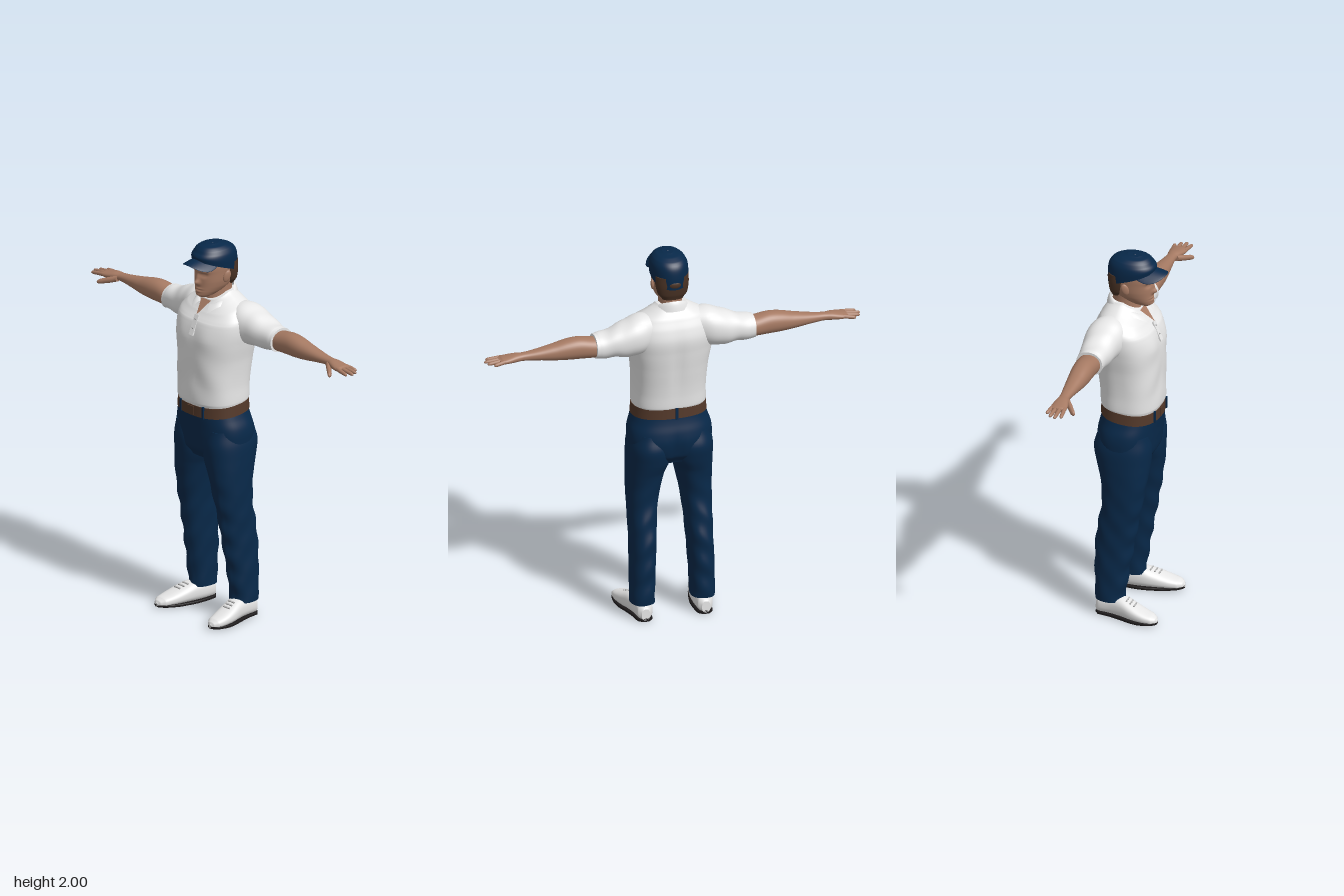
import * as THREE from 'three';

const mat = (name, color, side = THREE.FrontSide) => {
  const m = new THREE.MeshStandardMaterial({ color, side });
  m.name = name;
  return m;
};

// Which coordinates the two cross-section directions use for each loft axis
const AXES = { x: ['z', 'y'], y: ['x', 'z'], z: ['y', 'x'] };

// Smooth loft through superellipse sections [t, aMin, aMax, bMin, bMax], with an optional vertex rule
function loft(axis, sections, { n = 40, steps = 6, power = 2, rule } = {}) {
  const [A, B] = AXES[axis], rows = [], last = sections.length - 1;
  for (let k = 0; k < last; k++) {
    for (let s = 0; s < steps + (k === last - 1 ? 1 : 0); s++) {
      const u = s / steps, p0 = sections[Math.max(k - 1, 0)], p3 = sections[Math.min(k + 2, last)];
      rows.push(sections[k].map((p1, i) => {
        const p2 = sections[k + 1][i];
        if (i === 0) return p1 + (p2 - p1) * u;
        const m1 = (p2 - p0[i]) / 2, m2 = (p3[i] - p1) / 2, d = p2 - p1;
        return p1 + m1 * u + (3 * d - 2 * m1 - m2) * u * u + (m1 + m2 - 2 * d) * u * u * u;
      }));
    }
  }
  const pos = [], index = [], v = new THREE.Vector3();
  const ring = (r) => {
    for (let j = 0; j < n; j++) {
      const th = (j / n) * Math.PI * 2, c = Math.cos(th), s = Math.sin(th);
      v[axis] = r[0];
      v[A] = (r[1] + r[2]) / 2 + (r[2] - r[1]) / 2 * Math.sign(c) * Math.abs(c) ** (2 / power);
      v[B] = (r[3] + r[4]) / 2 + (r[4] - r[3]) / 2 * Math.sign(s) * Math.abs(s) ** (2 / power);
      if (rule) rule(v);
      pos.push(v.x, v.y, v.z);
    }
  };
  rows.forEach(ring);
  for (let i = 0; i < rows.length - 1; i++) for (let j = 0; j < n; j++) {
    const a = i * n + j, b = i * n + (j + 1) % n;
    index.push(a, a + n, b, a + n, b + n, b);
  }
  // End caps with their own vertices so the rims stay crisp
  [rows[0], rows[rows.length - 1]].forEach((r, end) => {
    const base = pos.length / 3;
    ring(r);
    v[axis] = r[0]; v[A] = (r[1] + r[2]) / 2; v[B] = (r[3] + r[4]) / 2;
    if (rule) rule(v);
    pos.push(v.x, v.y, v.z);
    for (let j = 0; j < n; j++) {
      const k = (j + 1) % n;
      index.push(base + n, base + (end ? k : j), base + (end ? j : k));
    }
  });
  const g = new THREE.BufferGeometry();
  g.setAttribute('position', new THREE.Float32BufferAttribute(pos, 3));
  g.setIndex(index);
  g.computeVertexNormals();
  return g;
}

// Move every vertex of a geometry by a rule
function bend(g, rule) {
  const p = g.attributes.position, v = new THREE.Vector3();
  for (let i = 0; i < p.count; i++) {
    rule(v.fromBufferAttribute(p, i));
    p.setXYZ(i, v.x, v.y, v.z);
  }
  g.computeVertexNormals();
  return g;
}

function mirrored(g) {
  const m = g.clone().scale(-1, 1, 1), ix = m.index.array;
  for (let i = 0; i < ix.length; i += 3) [ix[i], ix[i + 1]] = [ix[i + 1], ix[i]];
  m.computeVertexNormals();
  return m;
}

const bump = (a, b, sa, sb) => Math.exp(-((a / sa) ** 2) - (b / sb) ** 2);
const clamp = THREE.MathUtils.clamp;
const sym = (y, w, z0, z1) => [y, -w, w, z0, z1];
const ball = (x, y, z, sx, sy, sz) => new THREE.SphereGeometry(1, 24, 16).scale(sx, sy, sz).translate(x, y, z);

export function createModel() {
  const root = new THREE.Group();
  root.name = 'standingMan';
  const skin = mat('skin', 0xa67a63, THREE.DoubleSide), hair = mat('hair', 0x4a3325);
  const white = mat('white cloth', 0xebebeb, THREE.DoubleSide), navy = mat('navy cloth', 0x08294a);
  const leather = mat('brown leather', 0x54392a), dark = mat('dark sole', 0x1e1b1c), grey = mat('grey trim', 0xb4b4b4);
  const add = (name, g, m) => {
    const mesh = new THREE.Mesh(g, m);
    mesh.name = name;
    root.add(mesh);
    return mesh;
  };
  const pair = (name, g, m) => {
    add('left' + name, g, m);
    add('right' + name, mirrored(g), m);
  };

  // Head with sculpted face
  add('head', loft('y', [
    sym(1.724, 0.026, 0.03, 0.088), sym(1.735, 0.042, -0.01, 0.1), sym(1.755, 0.058, -0.06, 0.102),
    sym(1.78, 0.071, -0.095, 0.1), sym(1.81, 0.079, -0.11, 0.1), sym(1.85, 0.083, -0.122, 0.101),
    sym(1.89, 0.085, -0.125, 0.104), sym(1.93, 0.08, -0.12, 0.095), sym(1.96, 0.06, -0.09, 0.07),
  ], { n: 96, steps: 9, power: 2.2, rule: (v) => {
    if (v.z < 0.03) return;
    const ax = Math.abs(v.x), y = v.y;
    v.z += 0.02 * bump(ax, y - 1.805, 0.014, 0.014) + 0.011 * bump(ax, y - 1.83, 0.011, 0.025)
      - 0.011 * bump(ax - 0.033, y - 1.848, 0.017, 0.012) + 0.005 * bump(ax - 0.03, y - 1.868, 0.03, 0.008)
      + 0.004 * bump(ax - 0.033, y - 1.847, 0.009, 0.006) + 0.005 * bump(ax, y - 1.772, 0.022, 0.006)
      + 0.005 * bump(ax, y - 1.757, 0.018, 0.006) - 0.004 * bump(ax, y - 1.765, 0.026, 0.003)
      + 0.004 * bump(ax, y - 1.737, 0.018, 0.01);
  } }), skin);
  add('neck', loft('y', [sym(1.64, 0.075, -0.13, 0.05), sym(1.7, 0.064, -0.12, 0.037),
    sym(1.75, 0.06, -0.112, 0.032), sym(1.81, 0.062, -0.11, 0.03)]), skin);
  pair('Ear', bend(ball(0, 0, 0, 0.009, 0.031, 0.019), (v) => {
    v.x += 0.088 - v.z * 0.3 + v.y * 0.1;
    v.z += -0.018 - v.y * 0.2;
    v.y += 1.833;
  }), skin);
  add('hair', loft('y', [sym(1.772, 0.055, -0.113, -0.045), sym(1.80, 0.076, -0.123, -0.03),
    sym(1.85, 0.086, -0.13, -0.01), sym(1.9, 0.087, -0.13, 0)], { power: 2.3 }), hair);

  // Cap: crown, curved brim, rear opening and top button
  add('capCrown', loft('y', [
    sym(1.88, 0.095, -0.135, 0.114), sym(1.92, 0.097, -0.136, 0.117), sym(1.95, 0.093, -0.13, 0.11),
    sym(1.975, 0.08, -0.108, 0.094), sym(1.99, 0.06, -0.075, 0.075), sym(1.998, 0.028, -0.035, 0.042),
  ], { n: 56, power: 2.15, rule: (v) => {
    v.y += 0.35 * (v.z + 0.01) * clamp((1.96 - v.y) / 0.08, 0, 1);
  } }), navy);
  add('capBrim', bend(ball(0, 0, 0.08, 0.087, 0.006, 0.1), (v) => {
    v.y += 1.928 - 0.15 * (v.z - 0.1) - 6.2 * v.x * v.x;
  }), navy);
  add('capRearOpening', ball(0, 1.862, -0.121, 0.036, 0.026, 0.018), hair);
  add('capButton', ball(0, 1.996, 0.004, 0.008, 0.005, 0.008), navy);

  // Shirt body with chest, spine groove and soft folds
  add('shirtBody', loft('y', [
    sym(1.158, 0.186, -0.15, 0.144), sym(1.18, 0.19, -0.157, 0.151), sym(1.27, 0.189, -0.162, 0.15),
    sym(1.4, 0.199, -0.178, 0.148), sym(1.5, 0.216, -0.19, 0.143), sym(1.57, 0.224, -0.195, 0.13),
    sym(1.63, 0.216, -0.18, 0.108), sym(1.68, 0.178, -0.157, 0.083), sym(1.71, 0.125, -0.138, 0.062),
    sym(1.742, 0.078, -0.117, 0.04),
  ], { n: 80, power: 2.5, rule: (v) => {
    const ax = Math.abs(v.x), y = v.y;
    if (v.z > 0.03) v.z += 0.008 * bump(ax - 0.09, y - 1.52, 0.06, 0.06)
      + 0.003 * Math.sin(30 * ax + 22 * y) * bump(y - 1.3, 0, 0.12, 1);
    if (v.z < -0.06) v.z += 0.008 * bump(ax, y - 1.42, 0.03, 0.16);
    v.y -= Math.max(0, v.z + 0.04) * 0.5 * clamp((y - 1.6) / 0.14, 0, 1);
    v.y -= v.z * 0.05 * clamp((1.25 - y) / 0.09, 0, 1);
  } }), white);
  pair('Sleeve', loft('x', [
    [0.1, -0.15, 0, 1.52, 1.695], [0.18, -0.18, 0.02, 1.495, 1.7], [0.25, -0.182, 0.006, 1.49, 1.678],
    [0.33, -0.17, -0.008, 1.497, 1.646], [0.4, -0.163, -0.018, 1.5, 1.628], [0.422, -0.161, -0.02, 1.5, 1.624],
  ], { power: 2.2, rule: (v) => {
    v.y += 0.003 * Math.sin(v.x * 55 + v.z * 25) * clamp((v.x - 0.2) / 0.1, 0, 1);
  } }), white);

  // Folded collar, open neck, placket and buttons
  add('collar', bend(new THREE.PlaneGeometry(1, 1, 48, 5), (v) => {
    const s = v.x * 2, t = 0.5 - v.y, a = s * 2.72;
    const front = (1 - Math.cos(a)) / 2, tip = Math.max(0, Math.abs(s) - 0.8) / 0.2;
    const yIn = 1.768 - 0.088 * front, yOut = 1.718 - 0.05 * front - 0.022 * tip;
    v.set(THREE.MathUtils.lerp(0.068, 0.108, t) * Math.sin(a) + Math.sign(s) * 0.012 * tip * t,
      THREE.MathUtils.lerp(yIn, yOut, t) + 0.012 * Math.sin(t * Math.PI),
      THREE.MathUtils.lerp(-0.04, -0.02, t) - THREE.MathUtils.lerp(0.082, 0.122, t) * Math.cos(a));
  }), white);
  const vee = new THREE.Shape([[-0.036, 1.7], [0, 1.632], [0.036, 1.7]].map((p) => new THREE.Vector2(...p)));
  add('openNeck', bend(new THREE.ShapeGeometry(vee), (v) => { v.z = 0.108 - (v.y - 1.635) * 0.97; }), skin);
  const placket = add('placket', new THREE.BoxGeometry(0.03, 0.11, 0.008), white);
  placket.position.set(0, 1.58, 0.126);
  placket.rotation.x = -0.4;
  [1.61, 1.565].forEach((y) => add('button', ball(0, y, 0.131 - (y - 1.58) * 0.42, 0.005, 0.005, 0.003), grey));

  // Arms and hands
  pair('Arm', loft('x', [
    [0.36, -0.145, -0.035, 1.508, 1.612], [0.42, -0.15, -0.032, 1.508, 1.613], [0.5, -0.146, -0.034, 1.51, 1.624],
    [0.56, -0.142, -0.035, 1.512, 1.62], [0.63, -0.135, -0.042, 1.518, 1.605], [0.72, -0.124, -0.054, 1.53, 1.588],
    [0.8, -0.115, -0.062, 1.537, 1.578], [0.84, -0.12, -0.052, 1.535, 1.577], [0.88, -0.125, -0.042, 1.534, 1.571],
    [0.91, -0.125, -0.04, 1.536, 1.566], [0.924, -0.118, -0.047, 1.543, 1.56],
  ], { power: 2.2 }), skin);
  const finger = (x0, z0, y0, x1, z1, y1, r) => loft('x', [0, 0.3, 0.6, 0.85, 0.96, 1].map((t, i) => {
    const k = r * [1, 1.03, 0.95, 0.85, 0.55, 0.1][i];
    const z = z0 + (z1 - z0) * t, y = y0 + (y1 - y0) * t;
    return [x0 + (x1 - x0) * t, z - k, z + k, y - k, y + k];
  }), { n: 14, steps: 3 });
  [[-0.114, 0.962, -0.126], [-0.094, 0.99, -0.1], [-0.073, 1, -0.072], [-0.052, 0.984, -0.042]]
    .forEach(([z, x1, z1], i) => pair('Finger' + (i + 1), finger(0.895, z, 1.553, x1, z1, 1.544, 0.0105), skin));
  pair('Thumb', finger(0.81, -0.068, 1.55, 0.898, -0.005, 1.525, 0.016), skin);

  // Trousers: seat and legs with soft folds
  add('trouserSeat', loft('y', [
    sym(0.865, 0.15, -0.125, 0.1), sym(0.91, 0.208, -0.157, 0.126), sym(0.98, 0.219, -0.172, 0.134),
    sym(1.04, 0.216, -0.168, 0.138), sym(1.1, 0.197, -0.155, 0.143), sym(1.15, 0.185, -0.149, 0.143),
  ], { n: 64, power: 2.4, rule: (v) => {
    if (v.z < -0.05) v.z += 0.012 * bump(v.x, v.y - 0.94, 0.02, 0.07);
  } }), navy);
  pair('TrouserLeg', loft('y', [
    [0.09, 0.096, 0.222, -0.146, 0.004], [0.2, 0.094, 0.222, -0.15, 0.016], [0.3, 0.09, 0.22, -0.152, 0.032],
    [0.4, 0.085, 0.218, -0.15, 0.05], [0.5, 0.079, 0.218, -0.14, 0.067], [0.6, 0.07, 0.22, -0.121, 0.085],
    [0.7, 0.053, 0.222, -0.12, 0.103], [0.8, 0.03, 0.223, -0.135, 0.118], [0.87, 0.002, 0.223, -0.156, 0.126],
    [0.95, 0.0, 0.22, -0.17, 0.13], [1.03, 0.02, 0.205, -0.15, 0.12],
  ], { n: 48, power: 2.25, rule: (v) => {
    const low = clamp((0.85 - v.y) / 0.3, 0, 1);
    v.z += 0.004 * low * Math.sin(v.y * 45 + v.x * 30) + (v.z > -0.02 ? 0.006 * low * bump(v.x - 0.155, 0, 0.012, 1) : 0);
    v.x += 0.002 * low * Math.sin(v.y * 38 + v.z * 40);
  } }), navy);

  // Belt, buckle and loops
  const tilt = (v) => { v.y -= v.z * 0.09; };
  add('belt', loft('y', [sym(1.112, 0.195, -0.157, 0.149), sym(1.168, 0.191, -0.155, 0.149)],
    { n: 64, power: 2.4, steps: 2, rule: tilt }), leather);
  add('buckle', new THREE.BoxGeometry(0.05, 0.046, 0.01).translate(0, 1.127, 0.149), leather);
  pair('BeltLoop', new THREE.BoxGeometry(0.012, 0.064, 0.01).translate(0.085, 1.128, 0.142), navy);
  add('rearBeltLoop', new THREE.BoxGeometry(0.014, 0.064, 0.01).translate(0, 1.153, -0.155), navy);

  // Shoes with dark soles and laces
  const outline = [[-0.142, 0.138, 0.182], [-0.125, 0.12, 0.2], [-0.06, 0.114, 0.21], [0, 0.116, 0.226],
    [0.06, 0.128, 0.244], [0.12, 0.144, 0.251], [0.17, 0.162, 0.246], [0.192, 0.182, 0.23], [0.2, 0.2, 0.214]];
  const tops = [0.07, 0.1, 0.11, 0.112, 0.091, 0.069, 0.054, 0.042, 0.03];
  pair('Shoe', loft('z', outline.map(([z, x0, x1], i) => [z, 0.008, tops[i], x0, x1]), { power: 2.5 }), white);
  pair('Sole', loft('z', outline.map(([z, x0, x1]) => [z, 0, 0.018, x0, x1]), { power: 5, rule: (v) => {
    v.y += Math.max(0, v.z - 0.1) * 0.08;
  } }), dark);
  for (let i = 0; i < 3; i++) {
    const z = 0.03 + i * 0.022;
    pair('Lace' + (i + 1), new THREE.BoxGeometry(0.045, 0.006, 0.007).rotateX(0.35)
      .translate(0.178 + i * 0.006, 0.104 - i * 0.008, z), grey);
  }
  return root;
}
